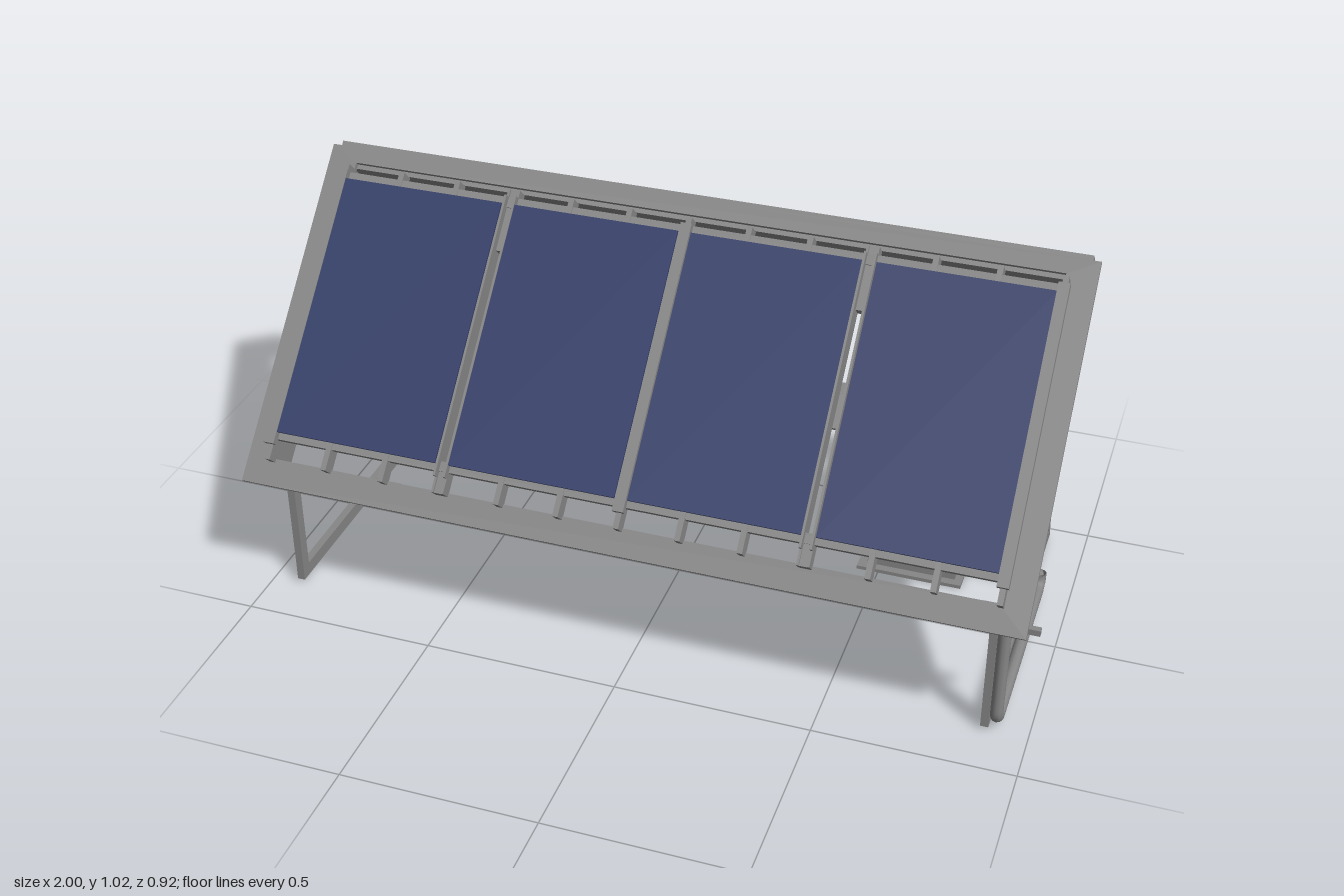
import * as THREE from 'three';

const metal = new THREE.MeshStandardMaterial({ color: 0x868686 });
metal.name = 'grey metal';
const cell = new THREE.MeshStandardMaterial({ color: 0x343e68 });
cell.name = 'blue solar cell';

// Box given by its minimum and maximum on each axis
function box(parent, name, x0, x1, y0, y1, z0, z1, material = metal) {
  const mesh = new THREE.Mesh(new THREE.BoxGeometry(x1 - x0, y1 - y0, z1 - z0), material);
  mesh.position.set((x0 + x1) / 2, (y0 + y1) / 2, (z0 + z1) / 2);
  mesh.name = name;
  parent.add(mesh);
  return mesh;
}

// Polyline path with rounded corners
function roundedPath(points, r) {
  const path = new THREE.CurvePath();
  const p = points.map((q) => new THREE.Vector3(...q));
  let from = p[0];
  for (let i = 1; i < p.length - 1; i++) {
    const a = p[i].clone().add(p[i - 1].clone().sub(p[i]).setLength(r));
    const b = p[i].clone().add(p[i + 1].clone().sub(p[i]).setLength(r));
    path.add(new THREE.LineCurve3(from, a));
    path.add(new THREE.QuadraticBezierCurve3(a, p[i], b));
    from = b;
  }
  path.add(new THREE.LineCurve3(from, p[p.length - 1]));
  return path;
}

// Tilted array: local y runs up the slope, local z is the panel normal
function buildArray() {
  const g = new THREE.Group();
  g.name = 'solarArray';
  g.rotation.x = -Math.PI / 4;
  g.position.x = -0.01;

  // Flat front flange with a large opening
  const shape = new THREE.Shape([[-0.99, -0.064], [0.99, -0.064], [0.99, 0.838], [-0.99, 0.838]]
    .map((q) => new THREE.Vector2(...q)));
  shape.holes.push(new THREE.Path([[-0.915, 0.005], [-0.915, 0.797], [0.915, 0.797], [0.915, 0.005]]
    .map((q) => new THREE.Vector2(...q))));
  const flange = new THREE.Mesh(new THREE.ExtrudeGeometry(shape, { depth: 0.014, bevelEnabled: false }), metal);
  flange.position.z = 0.576;
  flange.name = 'frontFlange';
  g.add(flange);

  // Deep frame walls and the rear drip edge
  box(g, 'bottomWall', -0.97, 0.97, -0.035, 0.005, 0.478, 0.577);
  box(g, 'topWall', -0.97, 0.97, 0.785, 0.82, 0.485, 0.577);
  for (const s of [-1, 1]) {
    box(g, 'sideWall', Math.min(s * 0.97, s * 0.925), Math.max(s * 0.97, s * 0.925), -0.034, 0.819, 0.479, 0.577);
  }
  box(g, 'rearEave', -0.97, 0.97, 0.826, 0.852, 0.4, 0.584);

  // Wide middle beam across the back
  box(g, 'middleBeam', -0.93, 0.93, 0.35, 0.465, 0.498, 0.515);

  // Rafters under the panels, split in two at the panel joints
  for (let i = 0; i < 13; i++) {
    const x = (i - 6) * 0.1535;
    if (i === 3 || i === 9) {
      for (const s of [-1, 1]) {
        box(g, 'jointRafter', x + s * 0.013 - 0.003, x + s * 0.013 + 0.003, -0.004, 0.78, 0.588, 0.626);
      }
      box(g, 'jointFiller', x - 0.01, x + 0.01, -0.004, 0.07, 0.59, 0.62);
      box(g, 'jointFiller', x - 0.01, x + 0.01, 0.62, 0.78, 0.59, 0.62);
    } else {
      box(g, 'rafter', x - 0.007, x + 0.007, -0.004, 0.78, 0.585, 0.626);
    }
  }

  // Horizontal rails at both ends of the panels
  box(g, 'lowerRail', -0.915, 0.915, 0.05, 0.075, 0.6, 0.624);
  box(g, 'upperRail', -0.915, 0.915, 0.733, 0.76, 0.6, 0.624);

  // Four panels with thin blue faces
  for (let i = 0; i < 4; i++) {
    const x = (i - 1.5) * 0.463;
    box(g, 'panelBack', x - 0.213, x + 0.213, 0.067, 0.737, 0.615, 0.634);
    box(g, 'panelFace', x - 0.215, x + 0.215, 0.066, 0.738, 0.634, 0.641, cell);
  }

  // Joint bars between and beside the panels
  for (let i = 0; i < 5; i++) {
    const x = (i - 2) * 0.4605;
    const solid = i % 2 === 0;
    if (solid) box(g, 'jointBar', x - 0.014, x + 0.014, 0.035, 0.76, 0.622, 0.643);
    else {
      for (const s of [-1, 1]) {
        box(g, 'jointBar', x + s * 0.013 - 0.003, x + s * 0.013 + 0.003, 0.035, 0.76, 0.622, 0.643);
      }
    }
  }

  // Junction box on the back
  box(g, 'junctionBox', -0.89, -0.71, 0.3, 0.483, 0.424, 0.5);
  box(g, 'junctionLid', -0.87, -0.73, 0.317, 0.463, 0.406, 0.425);
  return g;
}

function buildStand() {
  const g = new THREE.Group();
  g.name = 'stand';
  // Slanted rear leg drawn in side profile (z, y)
  const profile = new THREE.Shape([[-0.458, 0.01], [-0.423, 0.01], [-0.423, 0.045],
    [-0.2, 0.87], [-0.2, 0.9], [-0.236, 0.9], [-0.236, 0.87]].reverse().map((q) => new THREE.Vector2(...q)));
  const legGeometry = new THREE.ExtrudeGeometry(profile, { depth: 0.02, bevelEnabled: false });
  legGeometry.translate(0, 0, -0.01).rotateY(-Math.PI / 2);
  for (const x of [-0.923, 0.893]) {
    const leg = new THREE.Mesh(legGeometry, metal);
    leg.position.x = x;
    leg.name = 'rearLeg';
    g.add(leg);
    box(g, 'frontLeg', x - 0.01, x + 0.01, 0.01, 0.352, 0.335, 0.365);
    box(g, 'baseRail', x - 0.01, x + 0.01, 0.01, 0.045, -0.43, 0.34);
  }
  box(g, 'crossBar', -0.92, 0.89, 0.011, 0.044, -0.06, -0.025);
  for (const x of [-0.848, 0.818]) box(g, 'barClip', x - 0.018, x + 0.018, 0.044, 0.055, -0.06, -0.025);
  return g;
}

function buildPowerUnit() {
  const g = new THREE.Group();
  g.name = 'powerUnit';
  box(g, 'basePlate', 0.443, 0.722, 0, 0.01, -0.453, -0.158);
  box(g, 'cabinet', 0.467, 0.702, 0.01, 0.23, -0.425, -0.18);
  box(g, 'cabinetLid', 0.495, 0.672, 0.23, 0.243, -0.395, -0.212);

  // Cable conduit from the array to the cabinet
  const path = roundedPath([[0.918, 0.335, 0.355], [0.918, 0.024, 0.355],
    [0.918, 0.024, -0.212], [0.918, 0.07, -0.212], [0.69, 0.08, -0.212]], 0.04);
  const conduit = new THREE.Mesh(new THREE.TubeGeometry(path, 120, 0.016, 10), metal);
  conduit.name = 'conduit';
  g.add(conduit);
  box(g, 'conduitStub', 0.9, 1, 0.312, 0.328, 0.35, 0.366);
  return g;
}

export function createModel() {
  const model = new THREE.Group();
  model.name = 'solarPanelStation';
  model.add(buildArray(), buildStand(), buildPowerUnit());
  return model;
}
